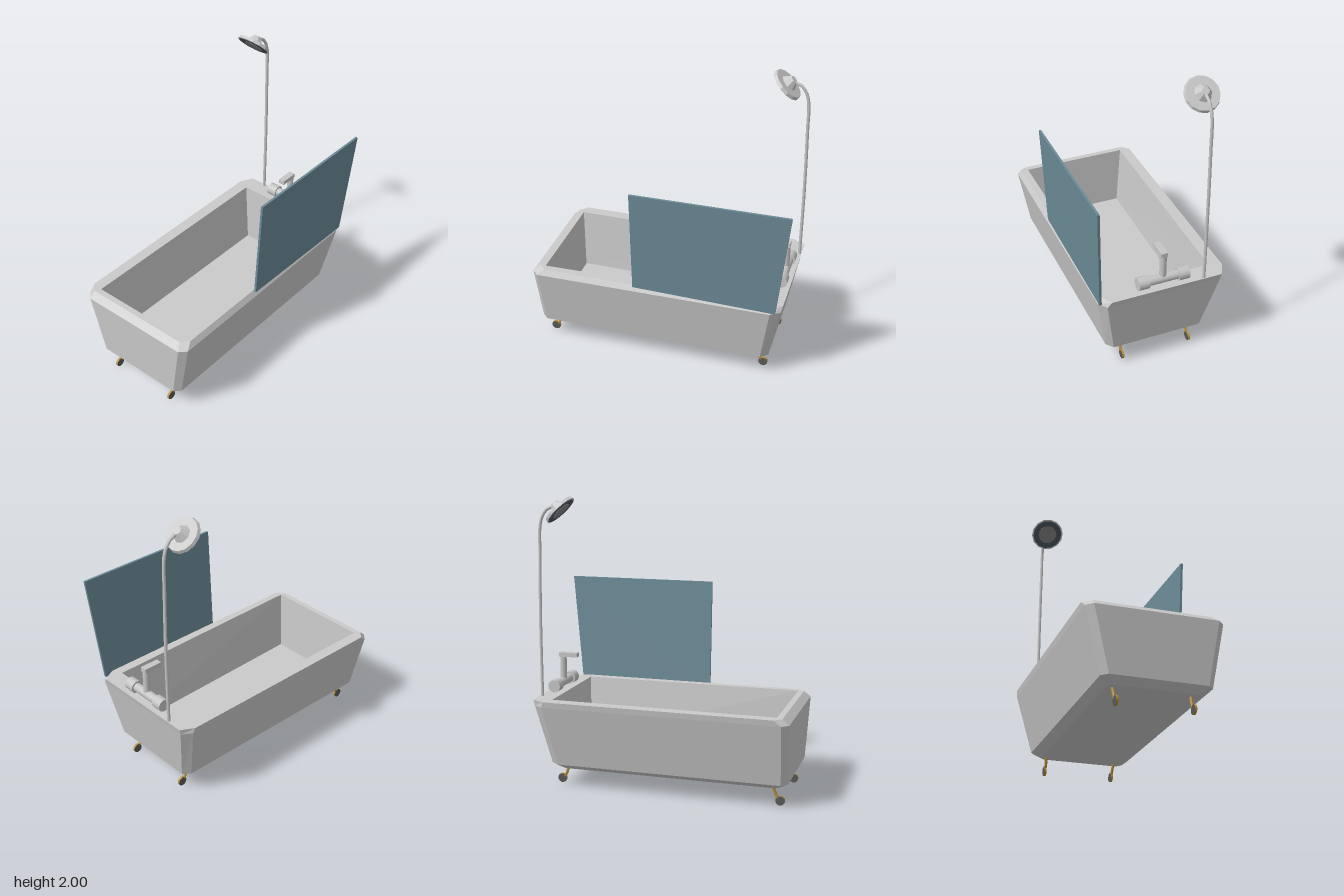
import * as THREE from 'three';

const mat = (name, color, extra = {}) => {
  const m = new THREE.MeshStandardMaterial({ color, ...extra });
  m.name = name;
  return m;
};

export function createModel() {
  const enamel = mat('pale enamel', 0xcacaca, { flatShading: true });
  const chrome = mat('chrome', 0xc6c6c6);
  const glass = mat('blue glass', 0x6c8b97);
  const brass = mat('brass', 0xb8923a);
  const dark = mat('dark grey', 0x585858);
  const slate = mat('slate nozzle', 0x4a5a64);
  const nozzle = mat('grey nozzle', 0x858585);

  const model = new THREE.Group();
  model.name = 'bathtub';
  const add = (parent, name, geo, material, x = 0, y = 0, z = 0) => {
    const m = new THREE.Mesh(geo, material);
    m.name = name;
    m.position.set(x, y, z);
    parent.add(m);
    return m;
  };

  // Tub: a loft of eight-cornered rings, up the outside, over the rim and down inside
  const ring = (y, xl, xr, zb, zf, c, cb) => [
    [xr, y, zf - c], [xr, y, zb + cb], [xr - c, y, zb], [xl + c, y, zb],
    [xl, y, zb + cb], [xl, y, zf - c], [xl + c, y, zf], [xr - c, y, zf],
  ];
  // Four-cornered ring with every corner doubled, tapering towards the back
  const trapezoid = (y, bl, br, fl, fr, zb, zf) => {
    const [a, b, c, d] = [[fr, y, zf], [br, y, zb], [bl, y, zb], [fl, y, zf]];
    return [a, b, b, c, c, d, d, a];
  };
  const rings = [
    ring(0.13, -0.30, 0.295, -0.72, 0.82, 0.03, 0.04),
    ring(0.17, -0.36, 0.345, -0.77, 0.88, 0.04, 0.05),
    ring(0.595, -0.463, 0.425, -0.85, 0.90, 0.045, 0.065),
    ring(0.635, -0.47, 0.402, -0.86, 0.855, 0.05, 0.09),
    trapezoid(0.635, -0.385, 0.335, -0.395, 0.355, -0.735, 0.815),
    trapezoid(0.2, -0.345, 0.29, -0.36, 0.33, -0.715, 0.80),
  ];
  const pos = [];
  const tri = (...pts) => pts.forEach((p) => pos.push(...p));
  for (let r = 0; r < rings.length - 1; r++) {
    for (let i = 0; i < 8; i++) {
      const j = (i + 1) % 8, lo = rings[r], hi = rings[r + 1];
      tri(lo[i], lo[j], hi[j]);
      tri(lo[i], hi[j], hi[i]);
    }
  }
  const floor = rings[rings.length - 1];
  for (let i = 1; i < 7; i++) {
    tri(rings[0][0], rings[0][i + 1], rings[0][i]);
    tri(floor[0], floor[i], floor[i + 1]);
  }
  const tub = new THREE.BufferGeometry();
  tub.setAttribute('position', new THREE.Float32BufferAttribute(pos, 3));
  tub.computeVertexNormals();
  add(model, 'tub', tub, enamel);

  add(model, 'drain', new THREE.CylinderGeometry(0.044, 0.044, 0.008, 12), dark, -0.035, 0.203, -0.51);

  // Glass screen: a slab in the side plane, leaning outwards with height
  const pane = new THREE.Shape([[-0.16, 0.63], [0.82, 0.605], [0.9, 1.365], [-0.16, 1.365]]
    .map(([u, v]) => new THREE.Vector2(u, v)));
  const screen = new THREE.ExtrudeGeometry(pane, { depth: 0.016, bevelEnabled: false });
  screen.rotateY(Math.PI / 2);
  const sp = screen.attributes.position;
  for (let i = 0; i < sp.count; i++) {
    sp.setX(i, sp.getX(i) + 0.408 + (sp.getY(i) - 0.605) * 0.053);
  }
  screen.computeVertexNormals();
  add(model, 'glassScreen', screen, glass);

  // Shower pipe curving forward into the head
  const path = new THREE.CatmullRomCurve3([
    [0.62, -0.845], [1.2, -0.846], [1.6, -0.839], [1.8, -0.834], [1.87, -0.815], [1.92, -0.775], [1.935, -0.72],
  ].map(([y, z]) => new THREE.Vector3(-0.297, y, z)));
  add(model, 'showerPipe', new THREE.TubeGeometry(path, 40, 0.011, 8), chrome);

  const head = new THREE.Group();
  head.name = 'showerHead';
  head.position.set(-0.3, 1.914, -0.688);
  head.rotation.x = -Math.PI / 4;
  model.add(head);
  add(head, 'headDisc', new THREE.CylinderGeometry(0.112, 0.119, 0.022, 14), enamel);
  add(head, 'headCone', new THREE.CylinderGeometry(0.026, 0.06, 0.05, 8), enamel, 0, 0.034, 0);
  add(head, 'sprayPlate', new THREE.CylinderGeometry(0.108, 0.108, 0.006, 14), slate, 0, -0.011, 0);
  add(head, 'sprayCentre', new THREE.CylinderGeometry(0.068, 0.068, 0.006, 14), nozzle, 0, -0.014, 0);

  // Mixer tap across the back rim
  const tap = new THREE.Group();
  tap.name = 'tap';
  tap.position.set(-0.022, 0.68, -0.8);
  model.add(tap);
  add(tap, 'tapBar', new THREE.CylinderGeometry(0.031, 0.031, 0.3, 16), chrome).rotation.z = Math.PI / 2;
  for (const s of [-1, 1]) {
    add(tap, 'tapHandle', new THREE.CylinderGeometry(0.044, 0.044, 0.073, 16), chrome, s * 0.141, 0, 0)
      .rotation.z = Math.PI / 2;
  }
  add(tap, 'tapPost', new THREE.CylinderGeometry(0.023, 0.023, 0.2, 12), chrome, 0, 0.1, 0);
  add(tap, 'tapSpout', new THREE.BoxGeometry(0.046, 0.03, 0.133), chrome, 0, 0.195, 0.044);

  // Four slanted brass legs, each ending in a round foot
  for (const [x, zTop, zFoot, y] of [
    [-0.26, 0.765, 0.82, 0.035], [0.227, 0.765, 0.82, 0.035],
    [-0.26, -0.67, -0.722, 0.046], [0.227, -0.67, -0.722, 0.046],
  ]) {
    const leg = new THREE.Group();
    leg.name = 'leg';
    model.add(leg);
    const out = Math.sign(x) * 0.006;
    const curve = new THREE.CatmullRomCurve3([
      new THREE.Vector3(x + out, 0.15, zTop),
      new THREE.Vector3(x, 0.085, zTop + (zFoot - zTop) * 0.4),
      new THREE.Vector3(x, y + 0.015, zFoot - (zFoot - zTop) * 0.3),
    ]);
    add(leg, 'legStem', new THREE.TubeGeometry(curve, 8, 0.01, 6), brass);
    add(leg, 'foot', new THREE.CylinderGeometry(0.032, 0.032, 0.015, 14), [brass, dark, dark], x, y, zFoot)
      .rotation.z = Math.PI / 2;
  }
  return model;
}
